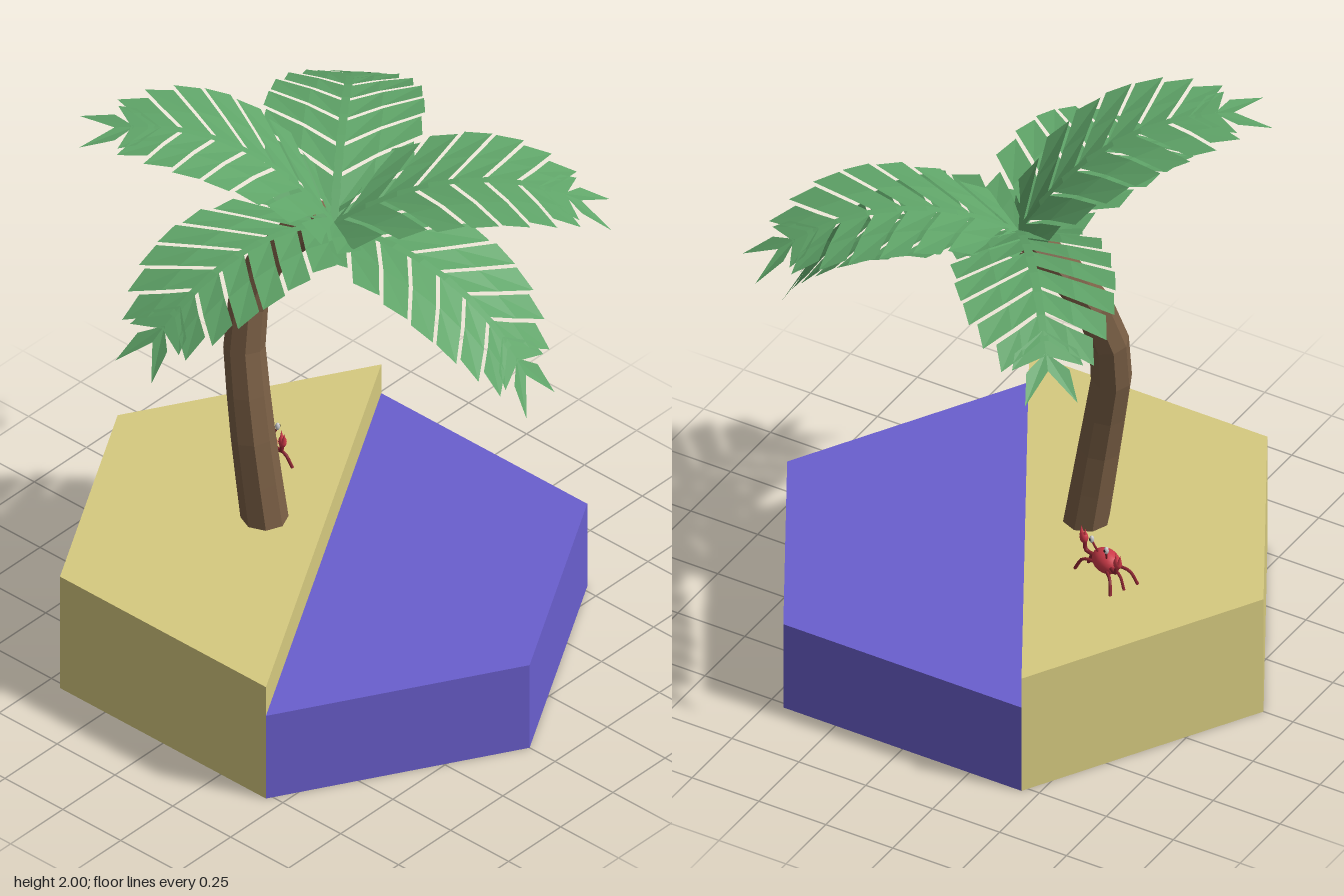
import * as THREE from 'three';

const mat = (color, extra = {}) => new THREE.MeshStandardMaterial({ color, ...extra });
const V = (x, y, z) => new THREE.Vector3(x, y, z);

function add(parent, name, geometry, material) {
  const mesh = new THREE.Mesh(geometry, material);
  mesh.name = name;
  parent.add(mesh);
  return mesh;
}

// Upright prism over a ground outline of [x, z] corners
function prism(corners, height) {
  const shape = new THREE.Shape(corners.map(([x, z]) => new THREE.Vector2(x, -z)));
  return new THREE.ExtrudeGeometry(shape, { depth: height, bevelEnabled: false }).rotateX(-Math.PI / 2);
}

// Tapered eight-sided trunk along a bent path
function makeTrunk(parent, material) {
  const path = new THREE.CatmullRomCurve3([
    V(-0.09, 0.43, -0.172), V(-0.09, 0.8, -0.23), V(-0.055, 1.15, -0.29),
    V(-0.01, 1.35, -0.26), V(0.035, 1.5, -0.165), V(0.075, 1.61, -0.06),
  ]);
  const rings = 8, sides = 8;
  const radius = (t) => 0.077 - 0.018 * t;
  const geo = new THREE.TubeGeometry(path, rings, 1, sides);
  const pos = geo.attributes.position, p = V(0, 0, 0);
  for (let i = 0; i < pos.count; i++) {
    const t = Math.floor(i / (sides + 1)) / rings;
    const c = path.getPointAt(t);
    p.fromBufferAttribute(pos, i).sub(c).multiplyScalar(radius(t)).add(c);
    pos.setXYZ(i, p.x, p.y, p.z);
  }
  add(parent, 'trunk', geo, material);
  const cap = add(parent, 'trunkTop', new THREE.CircleGeometry(radius(1), sides), material);
  cap.position.copy(path.getPointAt(1));
  cap.quaternion.setFromUnitVectors(V(0, 0, 1), path.getTangentAt(1));
}

// Arched frond growing along +x: s runs along the rib, w is the sideways offset
function frondGeometry() {
  const length = 0.9;
  const rib = new THREE.QuadraticBezierCurve(
    new THREE.Vector2(0, 0), new THREE.Vector2(0.46, 0.31), new THREE.Vector2(0.89, 0));
  const points = [];
  const vertex = (s, w) => {
    const q = rib.getPoint(THREE.MathUtils.clamp(s / length, 0, 1));
    return [q.x, q.y, w];
  };
  // Quad mirrored on both sides of the rib
  const quad = (corners) => {
    for (const side of [1, -1]) {
      const [a, b, c, d] = corners.map(([s, w]) => vertex(s, w * side));
      const tris = side > 0 ? [a, b, c, a, c, d] : [a, c, b, a, d, c];
      points.push(...tris.flat());
    }
  };
  const halfWidths = [0.15, 0.2, 0.235, 0.25, 0.25, 0.235, 0.19];
  const sweep = 0.62;
  // Swept leaflets, each split once so it follows the arch
  halfWidths.forEach((w, i) => {
    const far = 0.7 - i * 0.112, near = far - 0.096;
    const inner = 0.012, mid = w * 0.5, nearW = w * 1.04;
    quad([[near, inner], [near + mid * sweep, mid], [far + mid * sweep, mid], [far, inner]]);
    quad([[near + mid * sweep, mid], [near + nearW * sweep, nearW], [far + w * sweep, w], [far + mid * sweep, mid]]);
  });
  // Rib strip
  for (let i = 0; i < 7; i++) {
    const a = i * 0.1, b = a + 0.1;
    quad([[a, 0], [a, 0.014], [b, 0.014], [b, 0]]);
  }
  // Forked tip
  quad([[0.66, 0], [0.735, 0.1], [0.79, 0.115], [0.75, 0]]);
  quad([[0.74, 0], [0.8, 0.07], [0.9, 0.085], [0.8, 0]]);
  const geo = new THREE.BufferGeometry();
  geo.setAttribute('position', new THREE.Float32BufferAttribute(points, 3));
  geo.computeVertexNormals();
  return geo;
}

// Crab, wide along x and facing +z, standing on y = 0
function makeCrab() {
  const crab = new THREE.Group();
  crab.name = 'crab';
  const red = mat(0xcc3a48), dark = mat(0x8c2430), grey = mat(0xcccccc), black = mat(0x222222);
  const ball = (name, r, at, scale, material) => {
    const m = add(crab, name, new THREE.SphereGeometry(r, 16, 12), material);
    m.position.set(...at);
    m.scale.set(...scale);
    return m;
  };
  const limb = (name, r, pts, material) => {
    const curve = new THREE.CatmullRomCurve3(pts.map((q) => V(...q)));
    add(crab, name, new THREE.TubeGeometry(curve, 6, r, 6), material);
  };
  ball('shell', 0.042, [0, 0.062, 0], [1.35, 0.95, 0.95], red);
  for (const s of [1, -1]) {
    for (const z of [-0.025, 0, 0.025]) {
      limb('leg', 0.0055, [[s * 0.035, 0.05, z], [s * 0.072, 0.045, z * 1.6], [s * 0.095, 0, z * 2.2]], dark);
    }
    limb('arm', 0.007, [[s * 0.045, 0.065, 0.015], [s * 0.08, 0.07, 0.022], [s * 0.085, 0.1, 0.022]], dark);
    // Pincer with two fingers
    ball('claw', 0.018, [s * 0.09, 0.112, 0.022], [0.85, 1.15, 0.75], red);
    for (const f of [1, -1]) {
      const finger = add(crab, 'clawFinger', new THREE.ConeGeometry(0.009, 0.035, 8), red);
      finger.position.set(s * 0.093 + f * 0.009, 0.134, 0.022);
      finger.rotation.z = f * -0.15;
    }
    limb('eyeStalk', 0.004, [[s * 0.022, 0.09, 0.015], [s * 0.032, 0.115, 0.024], [s * 0.038, 0.13, 0.028]], dark);
    ball('eye', 0.009, [s * 0.039, 0.137, 0.029], [0.9, 1.5, 0.9], grey);
    ball('pupil', 0.004, [s * 0.039, 0.138, 0.035], [1, 1.4, 1], black);
  }
  return crab;
}

export function createModel() {
  const model = new THREE.Group();
  model.name = 'palmIsland';

  // Hexagonal base, split diagonally into raised sand and lower water
  const a = 0.77, h = 0.445, tip = 0.89;
  add(model, 'sand', prism([[-a, h], [a, -h], [0, -tip], [-a, -h]], 0.445), mat(0xd6ca7f, { flatShading: true }));
  add(model, 'water', prism([[-a, h], [0, tip], [a, h], [a, -h]], 0.33), mat(0x6a5fce, { flatShading: true }));

  // Palm: trunk and five fronds, each given as [heading to x, heading to z, pitch]
  makeTrunk(model, mat(0x7a5f45, { flatShading: true }));
  const leaf = frondGeometry();
  const green = mat(0x5fa468, { flatShading: true, side: THREE.DoubleSide });
  const fronds = [
    [-0.87, -0.08, -0.18], [0.7, -0.54, -0.06], [0.62, 0.63, 0],
    [0.14, 0.78, -0.5], [-0.53, -0.6, 0.41],
  ];
  for (const [x, z, pitch] of fronds) {
    const frond = add(model, 'frond', leaf, green);
    frond.position.set(0.06, 1.62, -0.01);
    frond.rotation.set(0, Math.atan2(-z, x), pitch, 'YXZ');
  }

  const crab = makeCrab();
  crab.position.set(0.15, 0.445, -0.392);
  crab.rotation.y = 1.18;
  model.add(crab);
  return model;
}
